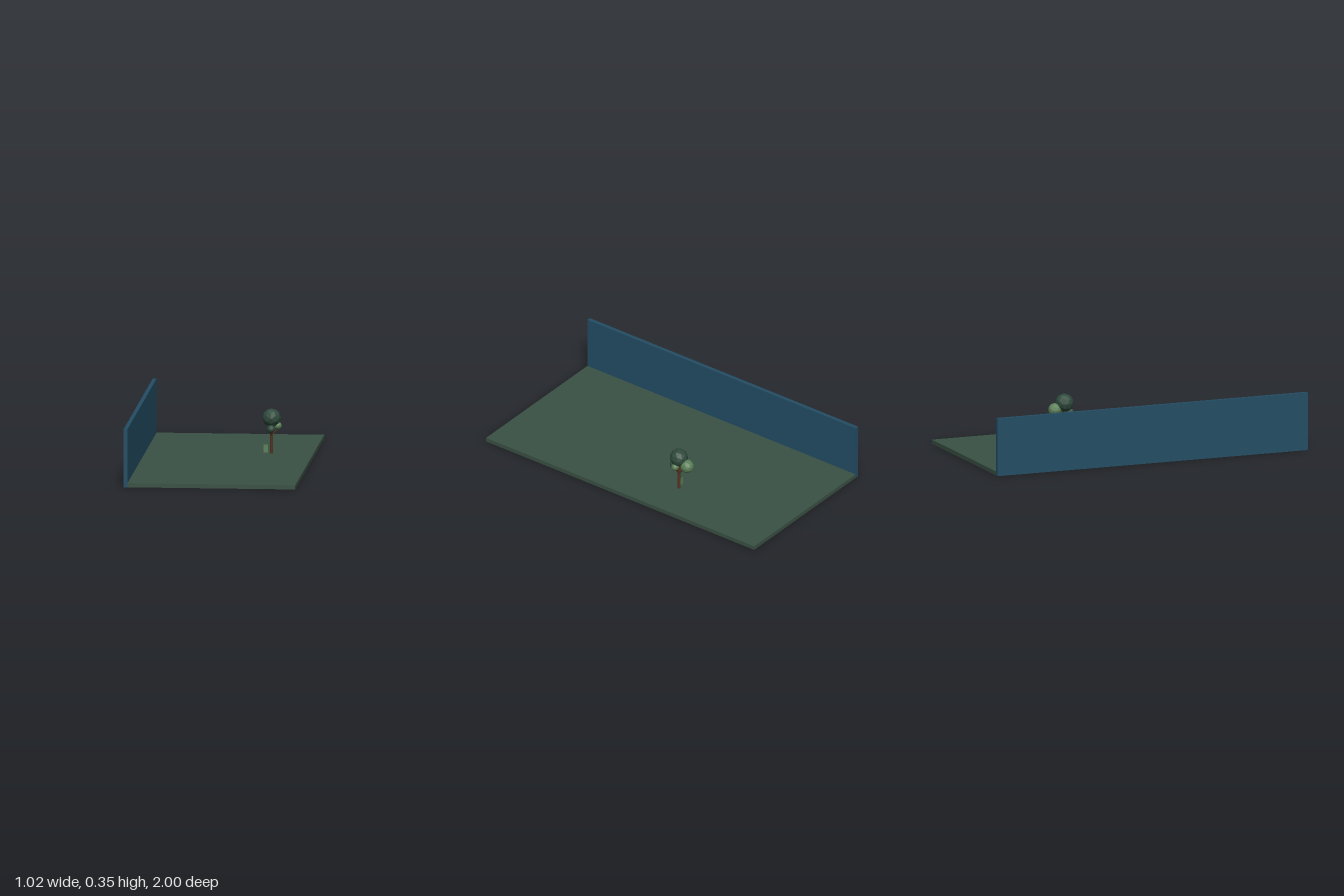
import * as THREE from 'three';

const mat = (name, color, extra = {}) => {
  const m = new THREE.MeshStandardMaterial({ color, flatShading: true, ...extra });
  m.name = name;
  return m;
};

export function createModel() {
  const model = new THREE.Group();
  const ground = mat('ground green', 0x3a5144);
  const wallBlue = mat('wall blue', 0x234d64);
  const darkLeaf = mat('dark leaf', 0x2f4a3c);
  const lightLeaf = mat('light leaf', 0x5c8059);
  const bark = mat('bark brown', 0x523420);
  const grass = mat('grass green', 0x5c8059, { side: THREE.DoubleSide });

  const add = (parent, name, geometry, material, x, y, z) => {
    const mesh = new THREE.Mesh(geometry, material);
    mesh.name = name;
    mesh.position.set(x, y, z);
    parent.add(mesh);
    return mesh;
  };

  // Ground slab and the long wall on its right edge
  add(model, 'groundSlab', new THREE.BoxGeometry(1.002, 0.025, 2), ground, 0.011, 0.0125, 0);
  add(model, 'wall', new THREE.BoxGeometry(0.023, 0.35, 2), wallBlue, -0.5015, 0.175, 0);

  // Tree, placed with its origin at the foot of the trunk
  const tree = new THREE.Group();
  tree.name = 'tree';
  tree.position.set(0.262, 0.025, -0.25);
  model.add(tree);
  add(tree, 'trunk', new THREE.CylinderGeometry(0.009, 0.01, 0.17, 8), bark, 0, 0.085, 0);

  // Side branches reach from the trunk into the smaller leaf balls
  const branch = (from, to) => {
    const a = new THREE.Vector3(...from), b = new THREE.Vector3(...to);
    const dir = b.clone().sub(a);
    const mid = a.clone().add(b).multiplyScalar(0.5);
    const mesh = add(tree, 'branch', new THREE.CylinderGeometry(0.004, 0.005, dir.length(), 6), bark, mid.x, mid.y, mid.z);
    mesh.quaternion.setFromUnitVectors(new THREE.Vector3(0, 1, 0), dir.normalize());
  };
  branch([0, 0.105, 0], [0.036, 0.15, 0]);
  branch([0, 0.105, 0], [0, 0.16, -0.05]);
  branch([0, 0.105, 0], [0, 0.145, 0.034]);

  // Faceted leaf balls: name, material, radius, position
  [
    ['mainCrown', darkLeaf, 0.056, 0, 0.213, 0],
    ['frontLeafBall', darkLeaf, 0.025, 0, 0.15, 0.038],
    ['sideLeafBall', lightLeaf, 0.023, 0.038, 0.166, 0],
    ['backLeafBall', lightLeaf, 0.041, 0, 0.175, -0.061],
  ].forEach(([name, material, r, x, y, z]) =>
    add(tree, name, new THREE.IcosahedronGeometry(r, 1), material, x, y, z));

  // Small upright grass panel beside the trunk
  add(model, 'grassPanel', new THREE.PlaneGeometry(0.026, 0.048), grass, 0.228, 0.054, -0.245);

  return model;
}
